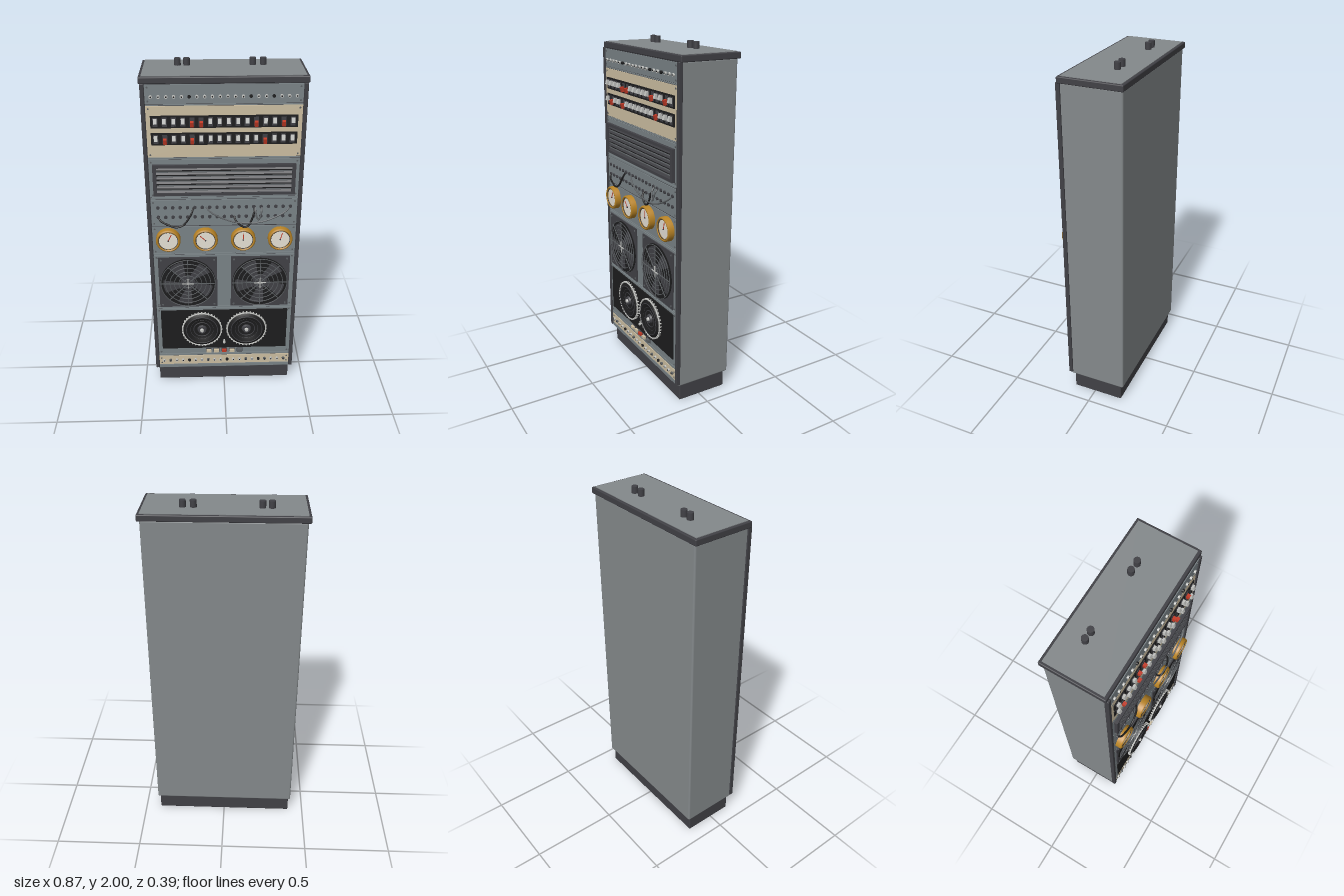
import * as THREE from 'three';
import { RoundedBoxGeometry } from 'three/addons/geometries/RoundedBoxGeometry.js';

const mat = (name, color) => new THREE.MeshStandardMaterial({ name, color });

export function createModel() {
  const root = new THREE.Group();
  root.name = 'equipmentCabinet';
  const body = mat('body grey', 0x84898b), panel = mat('panel grey', 0x7a8387);
  const dark = mat('charcoal', 0x414146), black = mat('black', 0x1d1d1e);
  const cream = mat('cream', 0xcdbfa2), silver = mat('silver', 0xc4c5c2);
  const red = mat('signal red', 0xc23a26), gold = mat('brass', 0xb98426);
  const dial = mat('dial white', 0xe6e1d6), steel = mat('steel grey', 0x5c6063);

  const Z = 0.158; // face of the front panels
  let parent = root;
  const add = (name, geo, m, x = 0, y = 0, z = 0) => {
    const mesh = new THREE.Mesh(geo, m);
    mesh.name = name;
    mesh.position.set(x, y, z);
    parent.add(mesh);
    return mesh;
  };
  const group = (name, x = 0, y = 0, z = 0) => {
    parent = new THREE.Group();
    parent.name = name;
    parent.position.set(x, y, z);
    root.add(parent);
  };
  // box given by its x, y and z limits
  const box = (name, m, x0, x1, y0, y1, z0, z1, r = 0) => {
    const s = [x1 - x0, y1 - y0, z1 - z0];
    const geo = r ? new RoundedBoxGeometry(...s, 2, r) : new THREE.BoxGeometry(...s);
    return add(name, geo, m, (x0 + x1) / 2, (y0 + y1) / 2, (z0 + z1) / 2);
  };
  // disc or knob facing the front, standing from z0 to z1
  const knob = (name, m, r, x, y, z0, z1, n = 16, r1 = r) =>
    add(name, new THREE.CylinderGeometry(r1, r, z1 - z0, n).rotateX(Math.PI / 2), m, x, y, (z0 + z1) / 2);
  // turned part facing the front
  const turned = (name, m, pts, n = 40) =>
    add(name, new THREE.LatheGeometry(pts.map(p => new THREE.Vector2(...p)), n).rotateX(Math.PI / 2), m);
  const ring = (name, m, r, t, z, n = 48) => add(name, new THREE.TorusGeometry(r, t, 6, n), m, 0, 0, z);

  // cabinet shell
  group('cabinet');
  box('plinth', dark, -0.408, 0.408, 0, 0.11, -0.172, 0.132, 0.006);
  box('shell', body, -0.42, 0.42, 0.1, 1.93, -0.19, 0.152, 0.01);
  box('topCap', dark, -0.434, 0.434, 1.926, 1.96, -0.198, 0.155, 0.005);
  box('topPlate', body, -0.42, 0.42, 1.955, 1.963, -0.184, 0.14);
  for (const s of [-1, 1]) {
    const c = s * 0.4165;
    box('frontRail', dark, c - 0.0105, c + 0.0105, 0.115, 1.928, 0.14, 0.164, 0.003);
  }
  for (const x of [-0.24, -0.192, 0.158, 0.213])
    add('cableGland', new THREE.CylinderGeometry(0.0175, 0.0175, 0.04, 20), dark, x, 1.98, -0.07);

  // front panels, with dark seams showing between them
  group('frontPanels');
  box('seamBacking', dark, -0.406, 0.406, 0.11, 1.926, 0.145, 0.153);
  const rows = [
    [1.824, 1.924, panel], [1.533, 1.812, cream], [1.298, 1.519, panel], [1.123, 1.28, panel],
    [0.944, 1.116, panel], [0.575, 0.93, panel], [0.222, 0.56, panel], [0.137, 0.2, cream],
    [0.205, 0.218, panel], [0.112, 0.133, panel], [1.522, 1.53, panel], [1.285, 1.295, panel],
    [0.934, 0.941, panel], [0.564, 0.571, panel], [1.815, 1.821, panel],
  ];
  for (const [y0, y1, m] of rows) {
    box('panel', m, -0.404, 0.404, y0, y1, 0.146, Z);
    if (y1 - y0 > 0.05) for (const x of [-0.39, 0.39]) for (const y of [y0 + 0.014, y1 - 0.014])
      knob('screw', steel, 0.005, x, y, Z, Z + 0.003, 8);
  }

  // rows of sockets at the top and bottom
  const socketRow = (y, darkOnes, warm) => {
    group('socketRow');
    for (let i = 0; i < 20; i++) {
      const x = -0.374 + i * 0.0392;
      knob('socket', darkOnes.includes(i) ? black : warm && i % 3 === 1 ? steel : silver, 0.0085, x, y, Z, Z + 0.01, 12);
      knob('socketHole', black, 0.004, x, y, Z + 0.01, Z + 0.012, 8);
    }
  };
  socketRow(1.862, [5, 13, 16], false);
  socketRow(0.17, [4, 10, 15], true);

  // two banks of toggle switches
  for (const [yc, reds] of [[1.729, [4, 5, 11, 14]], [1.636, [1, 4, 12]]]) {
    group('switchBank');
    box('switchStrip', black, -0.382, 0.382, yc - 0.033, yc + 0.033, Z, Z + 0.005);
    for (let i = 0; i < 16; i++) {
      const x = -0.357 + i * 0.0475, down = reds.includes(i), y = yc + (down ? -0.01 : 0.006);
      box('switchWell', dark, x - 0.013, x + 0.013, yc - 0.024, yc + 0.024, Z + 0.004, Z + 0.008);
      const t = box('toggle', down ? red : silver, x - 0.009, x + 0.009, y - 0.014, y + 0.014, Z + 0.005, 0.182);
      t.rotation.x = down ? 0.25 : -0.25;
    }
  }

  // louvred vent
  group('vent');
  box('ventBack', black, -0.38, 0.38, 1.316, 1.49, Z, Z + 0.004);
  for (const s of [-1, 1]) {
    box('ventSide', dark, s * 0.374 - 0.01, s * 0.374 + 0.01, 1.314, 1.492, Z, 0.176);
    box('ventEdge', dark, -0.38, 0.38, 1.403 + s * 0.081 - 0.008, 1.403 + s * 0.081 + 0.008, Z, 0.176);
  }
  for (let i = 0; i < 6; i++) {
    const y = 1.337 + i * 0.0265;
    box('louvre', dark, -0.365, 0.365, y - 0.008, y + 0.008, Z + 0.005, Z + 0.01).rotation.x = -0.5;
    box('louvreLip', steel, -0.365, 0.365, y + 0.007, y + 0.01, Z + 0.004, Z + 0.013);
  }

  // patch bay with hanging cables
  group('patchBay');
  for (const y of [1.178, 1.236]) for (let i = 0; i < 19; i++)
    knob('patchSocket', dark, 0.0095, -0.365 + i * 0.0406, y, Z, Z + 0.007, 12);
  const cable = (m, x0, y0, x1, y1, low, r) => {
    const mid = (x0 + x1) / 2, w = x1 - x0;
    const curve = new THREE.CatmullRomCurve3([
      [x0, y0, Z], [x0 + w * 0.06, y0 - (y0 - low) * 0.3, 0.174], [mid - w * 0.2, low + 0.012, 0.182], [mid, low, 0.183],
      [mid + w * 0.2, low + 0.012, 0.182], [x1 - w * 0.06, y1 - (y1 - low) * 0.3, 0.174], [x1, y1, Z],
    ].map(p => new THREE.Vector3(...p)));
    add('patchCable', new THREE.TubeGeometry(curve, 40, r, 8), m);
  };
  cable(black, -0.365, 1.178, -0.17, 1.236, 1.125, 0.0055);
  cable(black, 0.055, 1.178, 0.17, 1.236, 1.12, 0.0055);
  cable(steel, -0.1, 1.236, 0.365, 1.236, 1.145, 0.0045);
  cable(steel, 0.17, 1.236, 0.208, 1.236, 1.165, 0.0045);

  // four dial gauges
  [[-0.315, 25], [-0.106, -46], [0.106, 3], [0.315, 14]].forEach(([x, deg]) => {
    group('gauge', x, 1.04, 0);
    turned('gaugeBezel', gold, [[0.069, Z - 0.01], [0.069, 0.187], [0.064, 0.194], [0.058, 0.194], [0.053, 0.186], [0.053, Z]]);
    ring('gaugeInnerRim', dark, 0.0545, 0.0025, 0.188);
    knob('gaugeFace', dial, 0.054, 0, 0, Z, 0.184, 40);
    const a = THREE.MathUtils.degToRad(deg);
    const needle = new THREE.BoxGeometry(0.0045, 0.045, 0.002).translate(0, 0.02, 0);
    add('gaugeNeedle', needle, red, 0, 0, 0.187).rotation.z = -a;
    knob('gaugePin', dark, 0.004, 0, 0, 0.184, 0.19, 12);
  });

  // two ventilator fans behind ring guards
  for (const x of [-0.211, 0.209]) {
    group('fan', x, 0.748, 0);
    box('fanPlate', dark, -0.17, 0.17, -0.17, 0.17, Z, Z + 0.007);
    knob('fanOpening', black, 0.161, 0, 0, Z, Z + 0.009, 48);
    for (let i = 0; i < 5; i++) {
      const blade = new THREE.Shape();
      blade.absarc(0, 0, 0.145, 0, 0.6, false);
      blade.absarc(0, 0, 0.045, 0.85, 0.1, true);
      const g = new THREE.ExtrudeGeometry(blade, { depth: 0.003, bevelEnabled: false, curveSegments: 8 });
      add('fanBlade', g, dark, 0, 0, Z + 0.009).rotation.z = i * Math.PI * 0.4 + 0.5;
    }
    knob('fanHub', dark, 0.045, 0, 0, Z + 0.009, Z + 0.015, 24);
    for (const r of [0.158, 0.132, 0.106, 0.08, 0.054, 0.028]) ring('guardRing', steel, r, 0.0022, 0.178);
    for (let i = 0; i < 4; i++)
      add('guardSpoke', new THREE.BoxGeometry(0.316, 0.004, 0.004), steel, 0, 0, 0.178).rotation.z = i * Math.PI / 4;
    for (const a of [0, Math.PI / 2])
      add('guardCross', new THREE.BoxGeometry(0.07, 0.005, 0.004), silver, 0, 0, 0.181).rotation.z = a;
    for (const sx of [-1, 1]) for (const sy of [-1, 1])
      knob('fanScrew', steel, 0.006, sx * 0.153, sy * 0.153, Z, Z + 0.01, 10);
  }

  // twin reels on a black deck
  group('reelDeck');
  box('deckPlate', black, -0.38, 0.38, 0.265, 0.547, Z, Z + 0.007);
  knob('deckPin', silver, 0.008, 0, 0.312, Z, 0.176, 12);
  box('deckLever', silver, -0.004, 0.004, 0.312, 0.33, Z, 0.172);
  for (const x of [-0.135, 0.135]) {
    group('reel', x, 0.414, 0);
    turned('reelDisc', black, [[0.118, Z], [0.118, 0.174], [0.1, 0.185], [0.088, 0.187], [0.075, 0.178], [0.045, 0.172], [0, 0.172]]);
    ring('reelRim', silver, 0.117, 0.0045, 0.176);
    for (let i = 0; i < 36; i++) {
      const a = i * Math.PI / 18;
      knob('rimStud', silver, 0.0045, Math.cos(a) * 0.119, Math.sin(a) * 0.119, Z, 0.182, 6);
    }
    for (const r of [0.094, 0.07, 0.05]) ring('reelGroove', dark, r, 0.0025, r > 0.08 ? 0.186 : 0.175);
    knob('reelHub', dark, 0.03, 0, 0, 0.17, 0.184, 24, 0.024);
    knob('reelCap', silver, 0.014, 0, 0, 0.18, 0.194, 16, 0.009);
  }

  // push buttons under the deck
  group('pushButtons');
  [cream, cream, red, cream, steel].forEach((m, i) => {
    const x = (i - 2) * 0.0478;
    box('buttonFrame', dark, x - 0.018, x + 0.018, 0.232, 0.257, Z, Z + 0.004);
    box('button', m, x - 0.015, x + 0.015, 0.236, 0.253, Z, 0.176);
  });
  return root;
}
